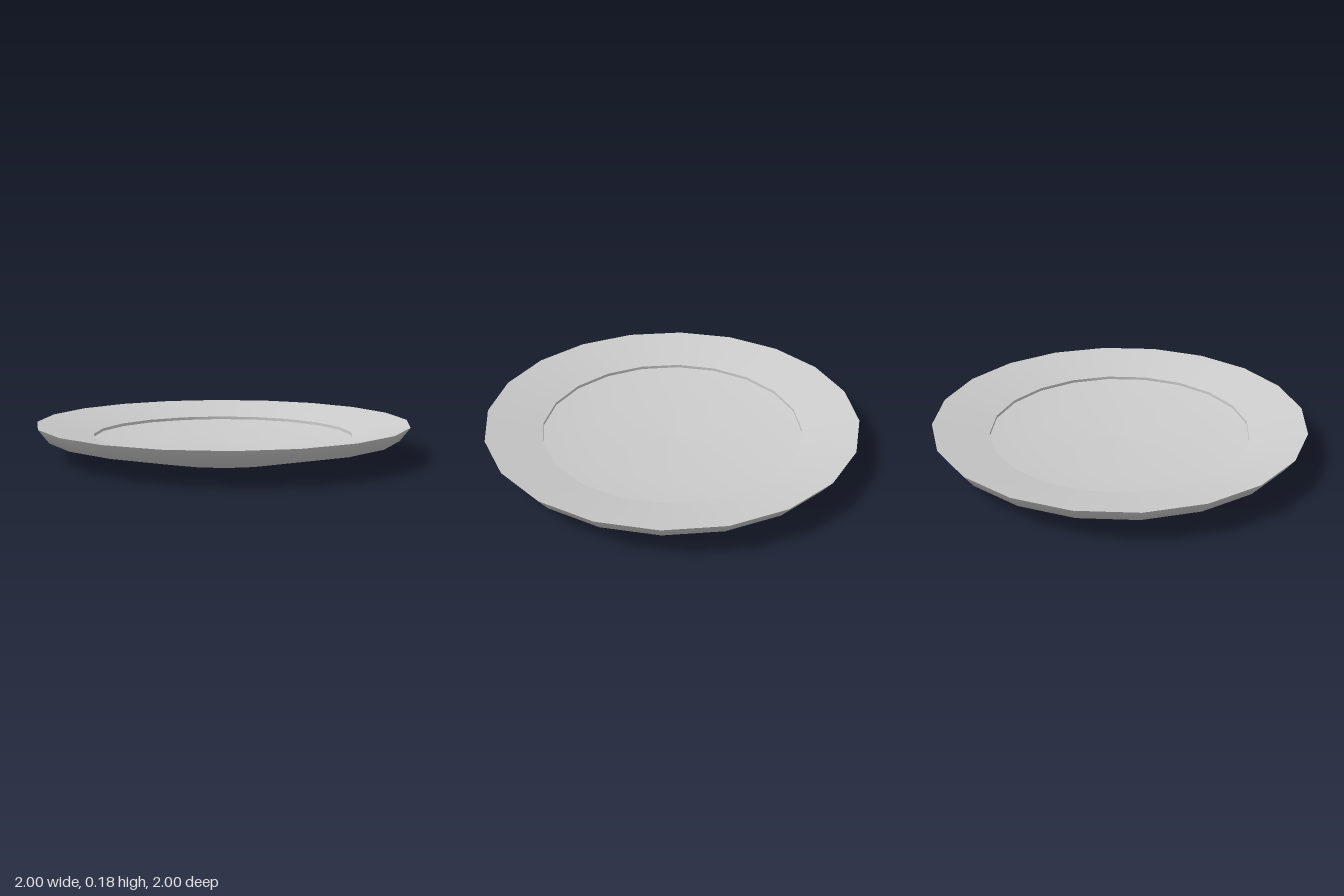
import * as THREE from 'three';

const SIDES = 20;

export function createModel() {
  const plate = new THREE.Group();
  plate.name = 'plate';
  const material = new THREE.MeshStandardMaterial({ color: 0xcccccc });

  // Each band is smooth within itself and meets its neighbours at a sharp edge.
  // Profiles are [radius, height], running from the base centre out, over the rim and back in.
  const bands = {
    base: [[0, 0], [0.445, 0]],
    underside: [[0.445, 0], [0.945, 0.106], [1, 0.178]],
    rim: [[1, 0.178], [0.7, 0.11]],
    wellStep: [[0.7, 0.11], [0.7, 0.094]],
    // shallow dish sinking towards the middle
    wellFloor: [[0.7, 0.094], [0.44, 0.06], [0, 0.047]],
  };

  for (const [name, profile] of Object.entries(bands)) {
    const points = profile.map(([r, y]) => new THREE.Vector2(r, y));
    const mesh = new THREE.Mesh(new THREE.LatheGeometry(points, SIDES), material);
    mesh.name = name;
    plate.add(mesh);
  }
  return plate;
}
